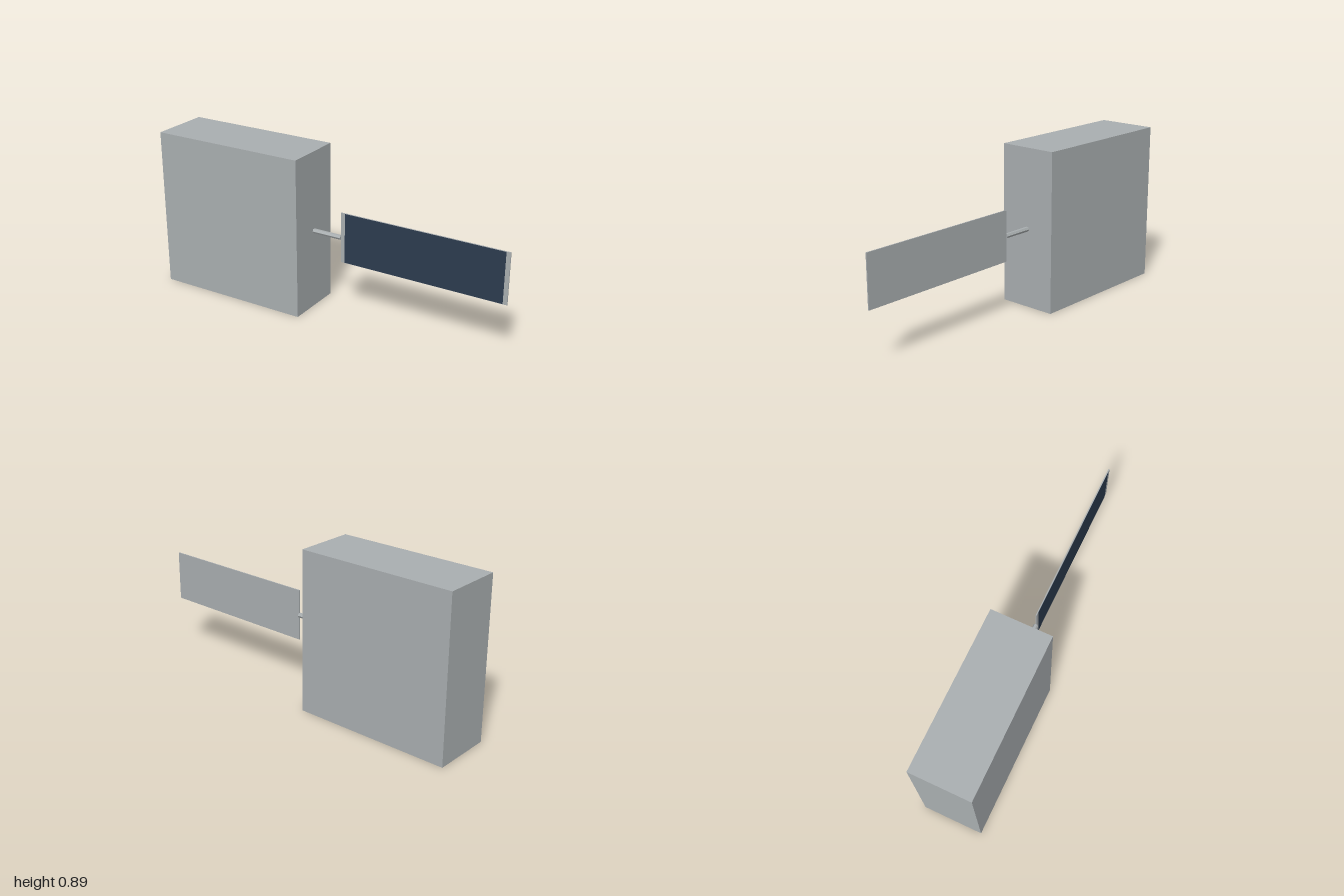
import * as THREE from 'three';

export function createModel() {
  const model = new THREE.Group();
  model.name = 'satellite';

  const grey = new THREE.MeshStandardMaterial({ color: 0xa9aeb0 });
  grey.name = 'hull grey';
  const navy = new THREE.MeshStandardMaterial({ color: 0x2c3b4e });
  navy.name = 'solar cell navy';

  const midY = 0.445;
  const add = (name, geometry, material, x, z = 0) => {
    const mesh = new THREE.Mesh(geometry, material);
    mesh.name = name;
    mesh.position.set(x, midY, z);
    model.add(mesh);
  };
  // box spanning x0..x1 and z0..z1, centred on the boom height
  const addBox = (name, material, x0, x1, height, z0, z1) =>
    add(name, new THREE.BoxGeometry(x1 - x0, height, z1 - z0), material, (x0 + x1) / 2, (z0 + z1) / 2);

  // main body
  addBox('body', grey, -1, -0.115, 0.89, -0.167, 0.167);

  // six-sided boom, lying along x
  const boom = new THREE.CylinderGeometry(0.0133, 0.0133, 0.17, 6).toNonIndexed();
  boom.rotateZ(Math.PI / 2);
  boom.computeVertexNormals();
  add('boom', boom, grey, -0.03);

  // solar panel with a full-height cell sheet on its front
  addBox('panel', grey, 0.055, 1, 0.282, -0.0035, 0.0028);
  addBox('solarCells', navy, 0.079, 0.977, 0.279, 0.0028, 0.0035);

  return model;
}
